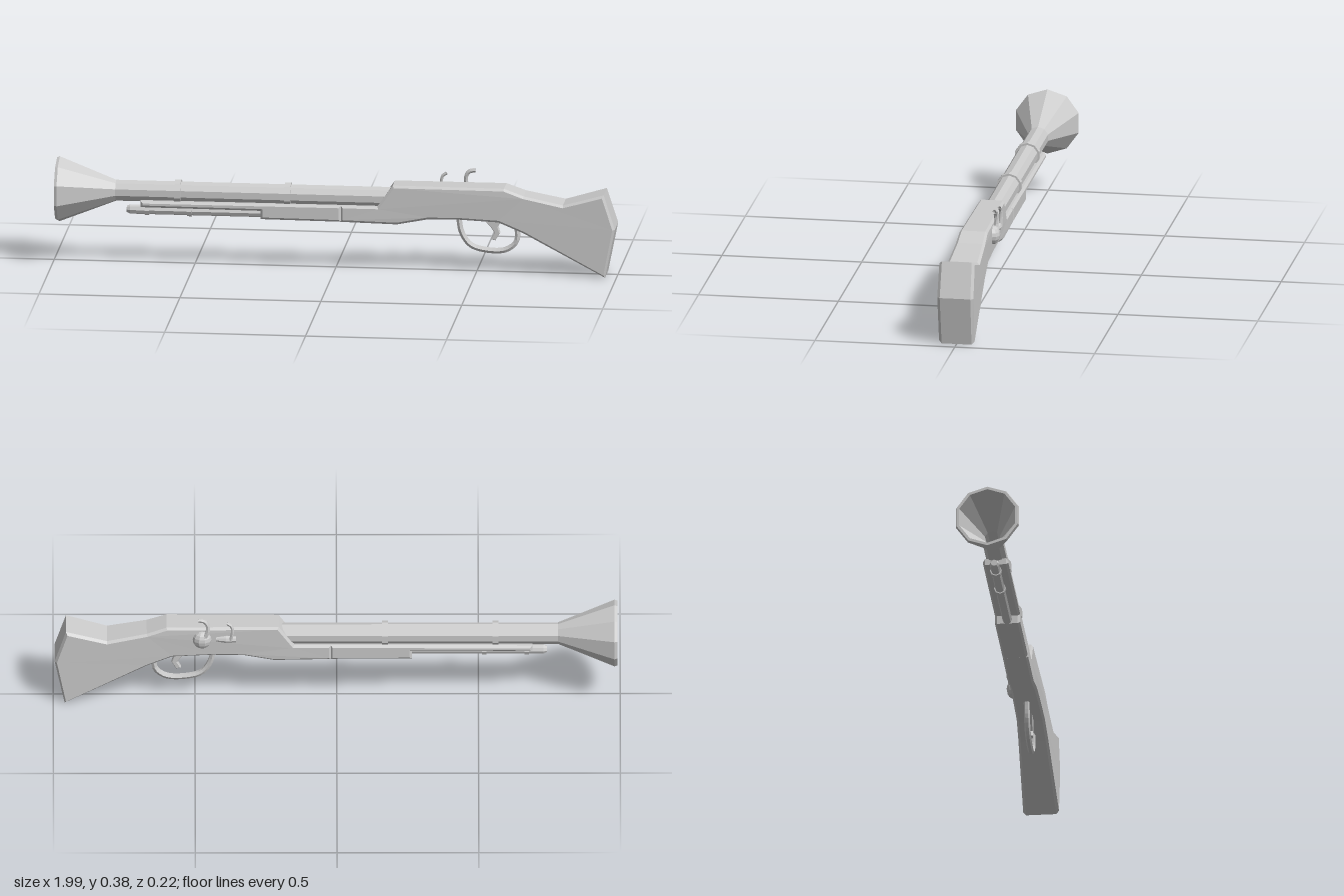
import * as THREE from 'three';

const mat = new THREE.MeshStandardMaterial({ color: 0xcccccc, flatShading: true, side: THREE.DoubleSide });

function add(parent, name, geometry, x = 0, y = 0, z = 0) {
  const mesh = new THREE.Mesh(geometry, mat);
  mesh.name = name;
  mesh.position.set(x, y, z);
  parent.add(mesh);
  return mesh;
}

// Side outline extruded across z to half width h, with chamfered edges
function slab(points, h, bevel) {
  const shape = new THREE.Shape(points.map(([x, y]) => new THREE.Vector2(x, y)));
  const g = new THREE.ExtrudeGeometry(shape, {
    depth: 2 * (h - bevel), bevelEnabled: true, bevelThickness: bevel,
    bevelSize: bevel, bevelOffset: -bevel, bevelSegments: 1,
  });
  return g.translate(0, 0, bevel - h);
}

// Ten-sided turned part along x, profile given as [x, radius]
function turned(profile, sides = 10) {
  const pts = profile.map(([x, r]) => new THREE.Vector2(r, -x));
  return new THREE.LatheGeometry(pts, sides, Math.PI / 2).rotateZ(Math.PI / 2);
}

function tube(points, radius, segments = 16, sides = 6) {
  const curve = new THREE.CatmullRomCurve3(points.map((p) => new THREE.Vector3(...p)));
  return new THREE.TubeGeometry(curve, segments, radius, sides);
}

// Stock half width along its length
function stockWidth(x) {
  const { lerp, clamp } = THREE.MathUtils;
  return x < 0.6 ? lerp(0.045, 0.05, clamp((x - 0.2) / 0.4, 0, 1)) : lerp(0.05, 0.065, (x - 0.6) / 0.395);
}

export function createModel() {
  const model = new THREE.Group();
  model.name = 'blunderbuss';

  // Barrel with a hollow flared muzzle
  const barrelY = 0.262;
  add(model, 'barrel', turned([
    [0.25, 0], [0.25, 0.038], [-0.78, 0.038], [-0.98, 0.118], [-0.99, 0.114],
    [-0.99, 0.104], [-0.8, 0.028], [-0.7, 0.026], [-0.7, 0],
  ]), 0, barrelY);

  // Barrel bands
  for (const x of [-0.56, -0.17]) {
    add(model, 'barrelBand', turned([
      [x + 0.011, 0.036], [x + 0.011, 0.045], [x - 0.011, 0.045], [x - 0.011, 0.036],
    ]), 0, barrelY);
  }

  // Stock, widening towards the butt
  const stock = slab([
    [0.02, 0.178], [0.22, 0.174], [0.33, 0.196], [0.44, 0.198], [0.58, 0.192], [0.67, 0.155],
    [0.96, 0.004], [0.995, 0.18], [0.955, 0.304], [0.81, 0.262], [0.67, 0.29], [0.6, 0.315],
    [0.205, 0.315], [0.15, 0.237], [0.02, 0.237],
  ], 0.05, 0.008);
  const p = stock.attributes.position;
  for (let i = 0; i < p.count; i++) p.setZ(i, p.getZ(i) * stockWidth(p.getX(i)) / 0.05);
  stock.computeVertexNormals();
  add(model, 'stock', stock);

  // Forearm, stepped up at the front to clear the ramrod
  add(model, 'forearm', slab([
    [0.022, 0.178], [0.022, 0.237], [-0.69, 0.235], [-0.69, 0.212], [-0.265, 0.21], [-0.265, 0.18],
  ], 0.045, 0.008));

  // Ramrod with its rings
  add(model, 'ramrod', turned([
    [-0.24, 0], [-0.24, 0.017], [-0.73, 0.017], [-0.742, 0.012], [-0.742, 0],
  ], 8), 0, 0.195);
  for (const x of [-0.67, -0.52]) {
    add(model, 'ramrodRing', turned([
      [x + 0.008, 0.015], [x + 0.008, 0.021], [x - 0.008, 0.021], [x - 0.008, 0.015],
    ], 8), 0, 0.195);
  }

  // Trigger guard and trigger
  add(model, 'triggerGuard', tube([
    [0.435, 0.2, 0], [0.445, 0.145, 0], [0.475, 0.1, 0], [0.52, 0.083, 0],
    [0.6, 0.083, 0], [0.64, 0.115, 0], [0.642, 0.18, 0],
  ], 0.0105, 24));
  add(model, 'trigger', slab([
    [0.515, 0.2], [0.55, 0.165], [0.563, 0.145], [0.55, 0.122], [0.566, 0.118],
    [0.582, 0.145], [0.575, 0.168], [0.595, 0.2],
  ], 0.01, 0.002));

  // Lock on the right-hand side: boss, cock and striking steel
  const lock = new THREE.Group();
  lock.name = 'lock';
  model.add(lock);
  add(lock, 'lockBoss', new THREE.SphereGeometry(0.034, 10, 8).scale(1, 1, 0.8), 0.475, 0.268, -0.048);
  add(lock, 'cock', tube([
    [0.475, 0.27, -0.062], [0.456, 0.305, -0.06], [0.456, 0.335, -0.057], [0.468, 0.351, -0.056], [0.488, 0.355, -0.056],
  ], 0.008, 12));
  add(lock, 'pan', turned([
    [0.425, 0], [0.425, 0.008], [0.39, 0.014], [0.355, 0.012], [0.355, 0],
  ], 8), 0, 0.272, -0.052);
  add(lock, 'steel', tube([
    [0.375, 0.27, -0.06], [0.368, 0.305, -0.06], [0.371, 0.33, -0.058], [0.386, 0.342, -0.057],
  ], 0.006, 10));

  return model;
}
